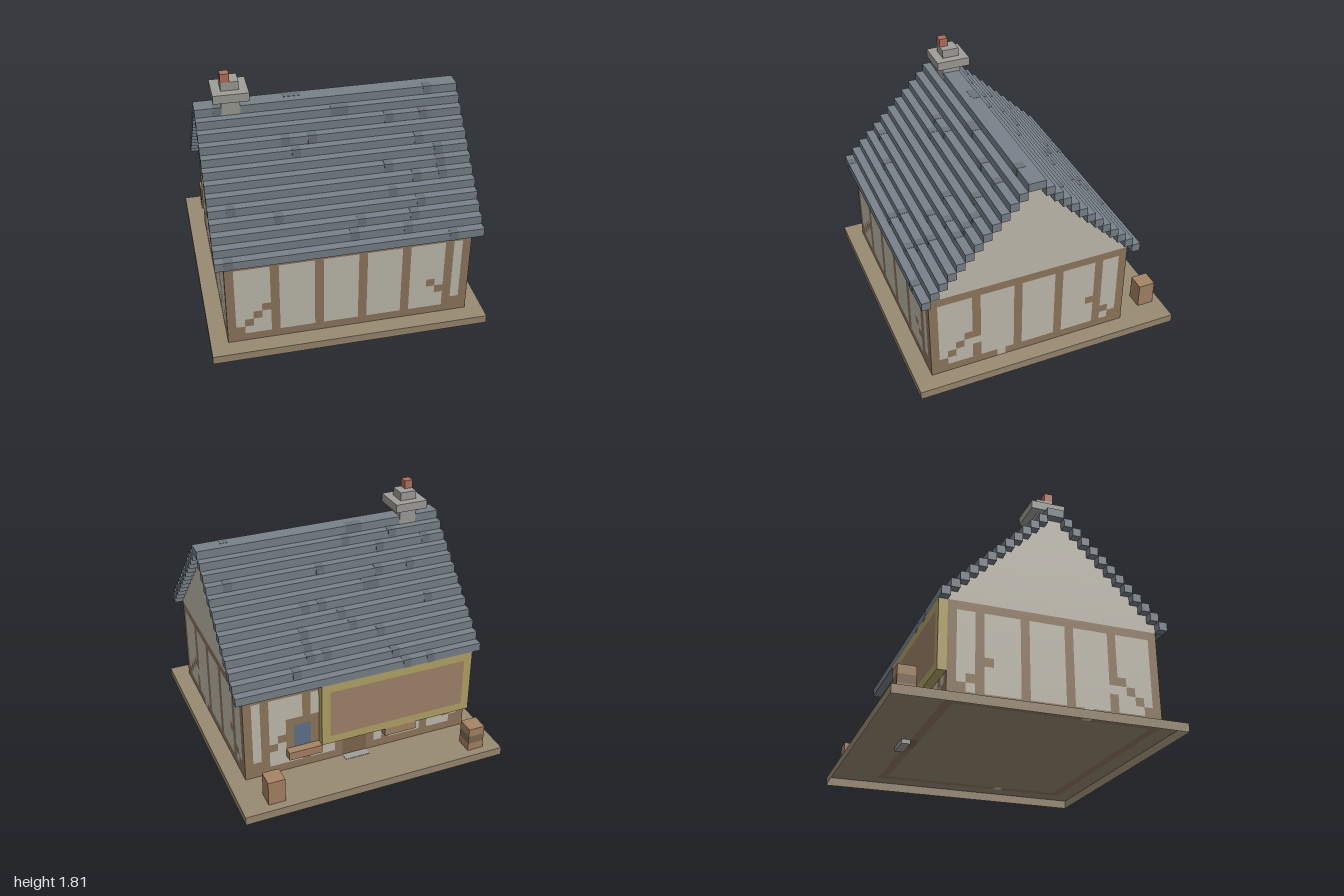
import * as THREE from 'three';
import { mergeGeometries } from 'three/addons/utils/BufferGeometryUtils.js';

const U = 1 / 16; // one block
const COLORS = {
  wood: 0x8f785e, plaster: 0xc2bdb0, slate: 0x78828a, slateDark: 0x6c757c, ground: 0x998a72,
  stone: 0x9f9e98, clay: 0xb4705a, glass: 0x5f7288, gold: 0xb3a466, board: 0xa0836a,
  crate: 0xa58464, crateBand: 0x80684f,
};
const mats = {};
const mat = (c) => (mats[c] ??= new THREE.MeshStandardMaterial({ color: COLORS[c] }));

// Box from block coordinates [x0, x1, y0, y1, z0, z1]
function box([x0, x1, y0, y1, z0, z1]) {
  const g = new THREE.BoxGeometry((x1 - x0) * U, (y1 - y0) * U, (z1 - z0) * U);
  return g.translate((x0 + x1) / 2 * U, (y0 + y1) / 2 * U, (z0 + z1) / 2 * U);
}

function add(parent, name, color, ...boxes) {
  const m = new THREE.Mesh(mergeGeometries(boxes.map(box)), mat(color));
  m.name = name;
  parent.add(m);
}

// Wall built from rows of equal-coloured blocks: colorAt(i, y), place(i0, i1, y) -> box
function wall(parent, name, from, to, colorAt, place) {
  const parts = {};
  for (let y = 1; y < 12; y++) {
    for (let i = from; i < to;) {
      const c = colorAt(i, y);
      let j = i + 1;
      while (j < to && colorAt(j, y) === c) j++;
      (parts[c] ??= []).push(place(i, j, y));
      i = j;
    }
  }
  const g = new THREE.Group();
  g.name = name;
  for (const c in parts) add(g, name + '_' + c, c, ...parts[c]);
  parent.add(g);
}

// Timber frame: sills, posts and two diagonal braces
const timber = (posts, up, down) => (i, y) =>
  y === 1 || y === 11 || posts.includes(i) ||
  (y < 6 && (i - y === up || i + y === down)) ? 'wood' : 'plaster';

const inside = (i, y, x0, x1, y0, y1) => i >= x0 && i < x1 && y >= y0 && y < y1;

export function createModel() {
  const model = new THREE.Group();
  model.name = 'house';

  // Ground slab: open below, top cut out where the walls stand
  const groundMat = mat('ground');
  groundMat.side = THREE.DoubleSide;
  const rect = (C, x0, x1, z0, z1) => new C([[x0, z0], [x1, z0], [x1, z1], [x0, z1]]
    .map(([x, z]) => new THREE.Vector2(x * U, -z * U)));
  const yard = rect(THREE.Shape, -16, 16, -16, 16);
  yard.holes.push(rect(THREE.Path, -14, 14, -10, 14));
  const top = new THREE.ShapeGeometry([yard, rect(THREE.Shape, -13, 13, -9, 13)]);
  top.rotateX(-Math.PI / 2).translate(0, U, 0);
  const rim = box([-16, 16, 0, 1, -16, 16]);
  const idx = Array.from(rim.index.array);
  rim.setIndex([...idx.slice(0, 12), ...idx.slice(24)]);
  for (const [name, g] of [['groundTop', top], ['groundRim', rim]]) {
    const m = new THREE.Mesh(g, groundMat);
    m.name = name;
    model.add(m);
  }

  // Walls
  const posts = [-14, -9, -4, 1, 6, 11, 13];
  const front = timber(posts, -15, 14);
  wall(model, 'frontWall', -14, 14, front, (a, b, y) => [a, b, y, y + 1, 13, 14]);
  const back = (i, y) => {
    if (inside(i, y, -1, 2, 1, 7)) return 'crateBand'; // door
    if (inside(i, y, -2, 3, 1, 8)) return 'wood';
    for (const x of [-7, 5]) {
      if (inside(i, y, x + 1, x + 3, 4, 7)) return 'glass';
      if (inside(i, y, x, x + 4, 3, 8)) return 'wood';
    }
    return front(i, y);
  };
  wall(model, 'backWall', -14, 14, back, (a, b, y) => [a, b, y, y + 1, -10, -9]);
  const side = timber([8, 3, -2, -7], -11, -1);
  const sideBraced = (i, y) => (y < 6 && i - y === 4 ? 'plaster' : null);
  const sideColor = (i, y) => {
    // braces rise inward from both corners
    if (y > 1 && y < 6 && (i + y === 14 || i - y === -11)) return 'wood';
    return sideBraced(i, y) ?? (i + y === -1 && ![3, 8, -2, -7].includes(i) && y > 1 && y < 11
      ? 'plaster' : side(i, y));
  };
  for (const [name, x] of [['leftWall', 13], ['rightWall', -14]]) {
    wall(model, name, -9, 13, sideColor, (a, b, y) => [x, x + 1, y, y + 1, a, b]);
    // Stepped gable above the wall
    const rows = [];
    for (let k = 0; k < 12; k++) rows.push([x, x + 1, 12 + k, 13 + k, k - 10, 14 - k]);
    add(model, name + 'Gable', 'plaster', ...rows);
  }

  // Stepped roof with a few darker slates
  let seed = 7;
  const rnd = () => (seed = (seed * 16807) % 2147483647) / 2147483647;
  const rows = [], dark = [], e = 0.03;
  for (let k = 0; k < 13; k++) {
    for (const z of [14 - k, k - 11]) {
      rows.push([-15, 15, 12 + k, 13 + k, z, z + 1]);
      for (let n = 0; n < 2; n++) {
        const x = Math.floor(rnd() * 28) - 14;
        dark.push([x, x + 1, 12 + k - e, 13 + k + e, z - e, z + 1 + e]);
      }
    }
  }
  add(model, 'roofRows', 'slate', ...rows);
  add(model, 'darkSlates', 'slateDark', ...dark);

  // Chimney running down to the floor
  add(model, 'chimney', 'stone', [-12.04, -9.96, 1, 26, 0.96, 3.04],
    [-13, -9, 26, 27, 0, 4], [-12, -10, 27, 28, 1, 3]);
  add(model, 'chimneyPot', 'clay', [-12, -11, 28, 29, 2, 3]);

  // Plain board on the back wall
  add(model, 'boardFrame', 'gold', [-14, 5, 4, 5, -11, -10], [-14, 5, 11, 12, -11, -10],
    [-14, -13, 5, 11, -11, -10], [4, 5, 5, 11, -11, -10]);
  add(model, 'boardPanel', 'board', [-13, 4, 5, 11, -11, -10]);

  // Window boxes and doorstep
  add(model, 'windowBoxes', 'crate', [5, 9, 3, 4, -11, -10], [-7, -3, 3, 4, -11, -10]);
  add(model, 'doorstep', 'stone', [-1, 2, 0.5, 1.05, -11, -10]);

  // Crates in the yard
  for (const x of [-14, 11]) {
    add(model, 'crate', 'crate', [x, x + 2, 1, 2, -15, -13], [x, x + 2, 3, 4, -15, -13]);
    add(model, 'crateBand', x < 0 ? 'crateBand' : 'crate', [x, x + 2, 2, 3, -15, -13]);
  }
  return model;
}
